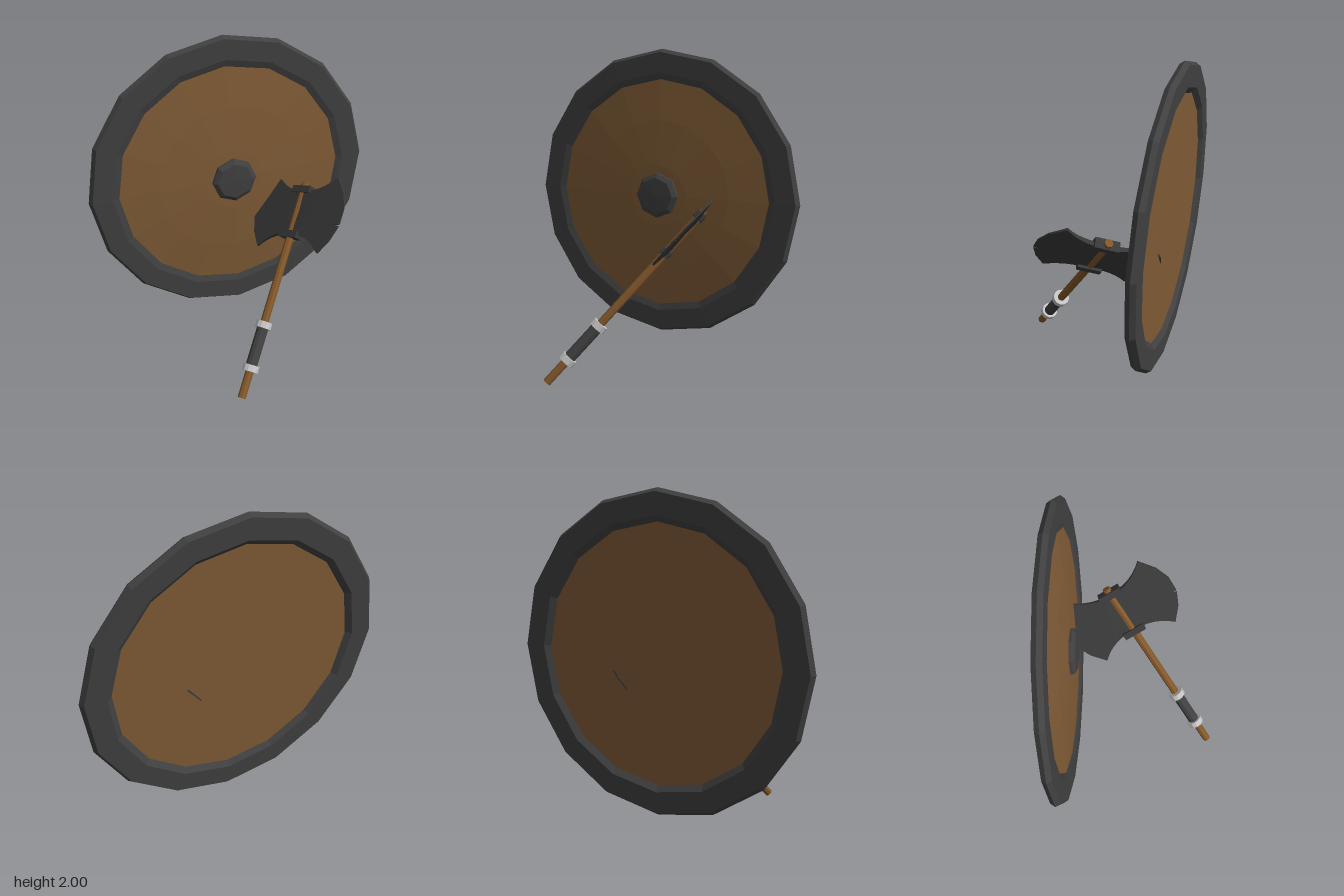
import * as THREE from 'three';

const mat = (name, color) => {
  const m = new THREE.MeshStandardMaterial({ color });
  m.name = name;
  return m;
};

// Faceted normals for the low-poly look
const faceted = (geo) => {
  const g = geo.index ? geo.toNonIndexed() : geo;
  g.computeVertexNormals();
  return g;
};

const add = (parent, name, geo, material) => {
  const mesh = new THREE.Mesh(faceted(geo), material);
  mesh.name = name;
  parent.add(mesh);
  return mesh;
};

// Revolve a [radius, z] profile around the z axis
const disc = (profile, sides) =>
  new THREE.LatheGeometry(profile.map(([r, z]) => new THREE.Vector2(r, z)), sides)
    .rotateX(Math.PI / 2).rotateZ(0.03);

function createShield(wood, iron) {
  const shield = new THREE.Group();
  shield.name = 'shield';
  add(shield, 'shieldBoard', disc(
    [[0, -0.003], [0.78, -0.003], [0.78, 0.016], [0.5, 0.042], [0.2, 0.058], [0, 0.06]], 16), wood);
  add(shield, 'shieldRim', disc(
    [[0.93, -0.03], [0.95, 0], [0.93, 0.03], [0.8, 0.032], [0.75, 0.016],
      [0.765, -0.003], [0.8, -0.03], [0.93, -0.03]], 16), iron);
  add(shield, 'shieldBoss', disc(
    [[0.15, 0.05], [0.15, 0.075], [0.12, 0.094], [0, 0.098]], 8), iron);
  shield.position.set(0, 1.05, -0.46);
  shield.rotation.x = -0.042;
  return shield;
}

// Double-bitted head in the xy plane, thinning towards both cutting edges
function bladeGeometry() {
  const tipX = 0.2625, tipY = 0.255, bulge = 0.12;
  const edgeX = (y) => tipX + bulge * (1 - (y / tipY) ** 2);
  const s = new THREE.Shape();
  s.moveTo(tipX, -tipY);
  for (const y of [-0.16, -0.067]) s.lineTo(edgeX(y), y);
  s.lineTo(0.335, -0.061); // nick in the edge
  for (const y of [-0.055, 0.05, 0.15, tipY]) s.lineTo(edgeX(y), y);
  s.quadraticCurveTo(0.17, 0.16, 0.05, 0.15);
  s.lineTo(-0.05, 0.15);
  s.quadraticCurveTo(-0.17, 0.16, -tipX, tipY);
  for (const y of [0.16, 0.055, -0.055, -0.16, -tipY]) s.lineTo(-edgeX(y), y);
  s.quadraticCurveTo(-0.17, -0.16, -0.05, -0.15);
  s.lineTo(0.05, -0.15);
  s.quadraticCurveTo(0.17, -0.16, tipX, -tipY);

  const geo = new THREE.ExtrudeGeometry(s, { depth: 2, bevelEnabled: false, curveSegments: 5 });
  const p = geo.attributes.position;
  for (let i = 0; i < p.count; i++) {
    const half = THREE.MathUtils.mapLinear(Math.min(Math.abs(p.getX(i)), 0.38), 0, 0.38, 0.018, 0.003);
    p.setZ(i, (p.getZ(i) - 1) * half);
  }
  return geo;
}

function createAxe(handleWood, iron, steel, silver) {
  const axe = new THREE.Group();
  axe.name = 'axe';
  const length = 1.431, headY = 1.23;

  // Round part centred at a given distance up the handle
  const rod = (name, radius, height, y, sides, material) =>
    add(axe, name, new THREE.CylinderGeometry(radius, radius, height, sides), material).position.y = y;

  rod('handle', 0.026, length, length / 2, 8, handleWood);
  rod('grip', 0.037, 0.28, 0.33, 10, iron);
  for (const y of [0.19, 0.47]) rod('gripRing', 0.053, 0.042, y, 12, silver);

  add(axe, 'axeHead', bladeGeometry(), steel).position.y = headY;
  for (const side of [-1, 1]) {
    add(axe, 'headCollar', new THREE.BoxGeometry(0.15, 0.045, 0.066), steel)
      .position.y = headY + side * 0.155;
  }

  // Lean the axe: y runs up the handle, x across the blades
  const up = new THREE.Vector3(0.71, 1.02, -0.71).normalize();
  const across = new THREE.Vector3(0.419, 0.305, 0.857);
  across.addScaledVector(up, -across.dot(up)).normalize();
  const normal = new THREE.Vector3().crossVectors(across, up);
  axe.quaternion.setFromRotationMatrix(new THREE.Matrix4().makeBasis(across, up, normal));
  axe.position.set(-0.28, 0.019, 0.51);
  return axe;
}

export function createModel() {
  const wood = mat('shield wood', 0x805c36);
  const handleWood = mat('handle wood', 0x82572a);
  const iron = mat('dark iron', 0x404040);
  const steel = mat('blade steel', 0x393939);
  const silver = mat('silver', 0xc4c4c4);

  const model = new THREE.Group();
  model.name = 'shieldAndAxe';
  model.add(createShield(wood, iron), createAxe(handleWood, iron, steel, silver));
  return model;
}
